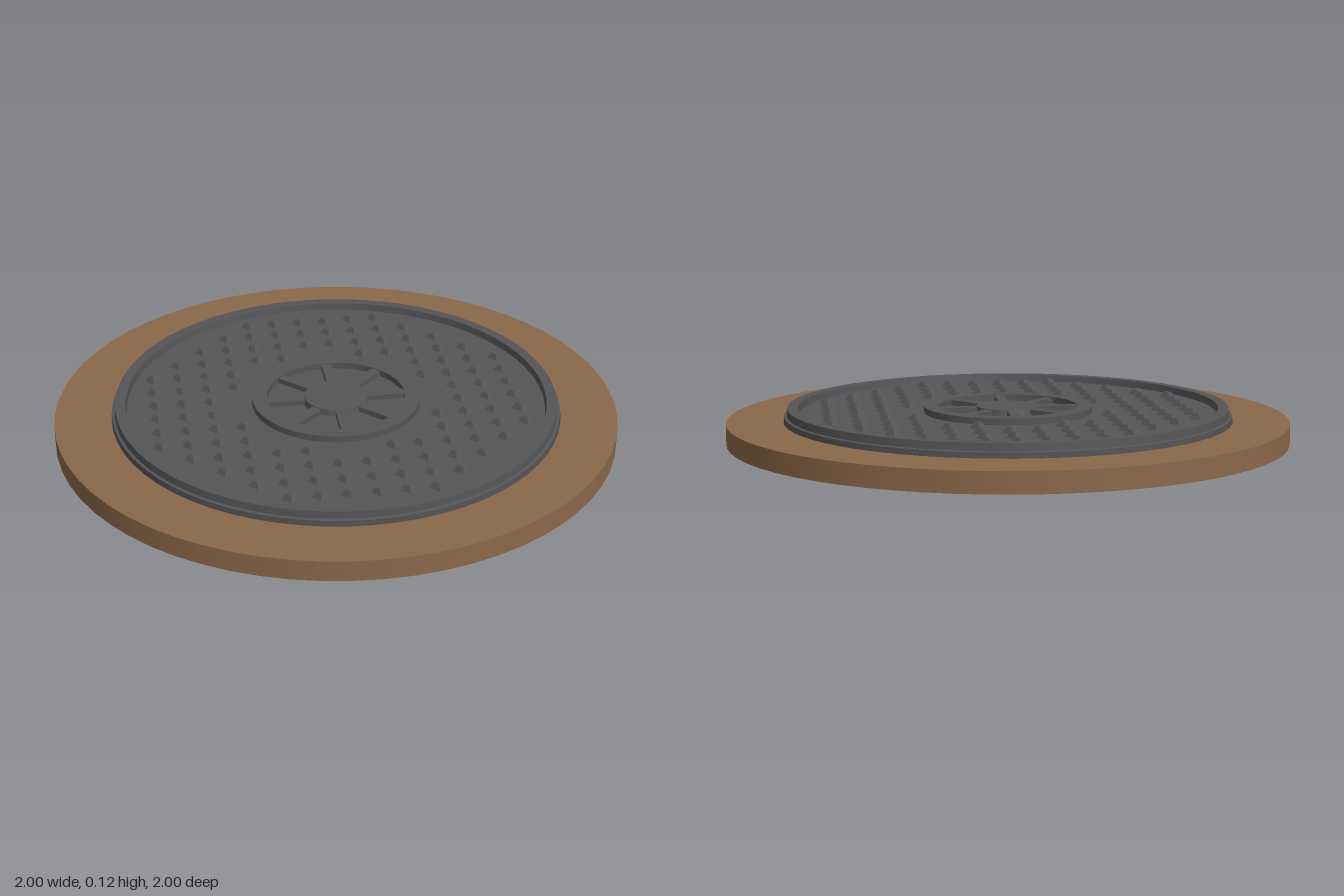
import * as THREE from 'three';
import { mergeGeometries } from 'three/addons/utils/BufferGeometryUtils.js';

const ground = new THREE.MeshStandardMaterial({ color: 0x8b6849, side: THREE.DoubleSide });
ground.name = 'earthBrown';
const iron = new THREE.MeshStandardMaterial({ color: 0x555558 });
iron.name = 'castIron';

// Turned profile with a crisp edge at every corner
function turned(profile) {
  const bands = [];
  for (let i = 0; i < profile.length - 1; i++) {
    const pair = [profile[i], profile[i + 1]].map(([r, y]) => new THREE.Vector2(r, y));
    bands.push(new THREE.LatheGeometry(pair, 64));
  }
  return mergeGeometries(bands);
}

function part(name, geometry, material, parent) {
  const mesh = new THREE.Mesh(geometry, material);
  mesh.name = name;
  parent.add(mesh);
  return mesh;
}

export function createModel() {
  const model = new THREE.Group();
  model.name = 'manholeCover';

  // Surrounding ring, an open-bottomed shell
  part('surroundRing', turned([[1, 0], [1, 0.073], [0.8, 0.073], [0.8, 0]]), ground, model);

  // Cover with stepped edge, raised rim and sunken floor
  const floorY = 0.094;
  part('coverPlate', turned([
    [0, 0.02], [0.797, 0.02], [0.797, 0.092], [0.787, 0.094], [0.785, 0.12],
    [0.748, 0.12], [0.745, floorY], [0, floorY],
  ]), iron, model);

  // Central wheel: ring, hub and eight spokes
  const wheel = new THREE.Group();
  wheel.name = 'centreWheel';
  model.add(wheel);
  part('wheelRing', turned([[0.3, 0.09], [0.3, 0.117], [0.247, 0.117], [0.247, 0.09]]), iron, wheel);
  part('hub', turned([[0.118, 0.09], [0.113, 0.116], [0, 0.116]]), iron, wheel);
  const spokeShape = new THREE.BoxGeometry(0.15, 0.022, 0.036).translate(0.18, 0.102, 0);
  for (let i = 0; i < 8; i++) {
    part('spoke', spokeShape, iron, wheel).rotation.y = i * Math.PI / 4;
  }

  // Grip studs: a square grid kept between the wheel and the rim
  const studs = new THREE.Group();
  studs.name = 'gripStuds';
  model.add(studs);
  const studShape = new THREE.CylinderGeometry(0.015, 0.03, 0.022, 4).toNonIndexed();
  studShape.computeVertexNormals();
  const step = 0.098;
  for (let i = -6.5; i <= 6.5; i++) {
    for (let j = -6.5; j <= 6.5; j++) {
      const r = Math.hypot(i, j) * step;
      if (r < 0.36 || r > 0.69) continue;
      part('stud', studShape, iron, studs).position.set(i * step, floorY + 0.01, j * step);
    }
  }

  return model;
}
